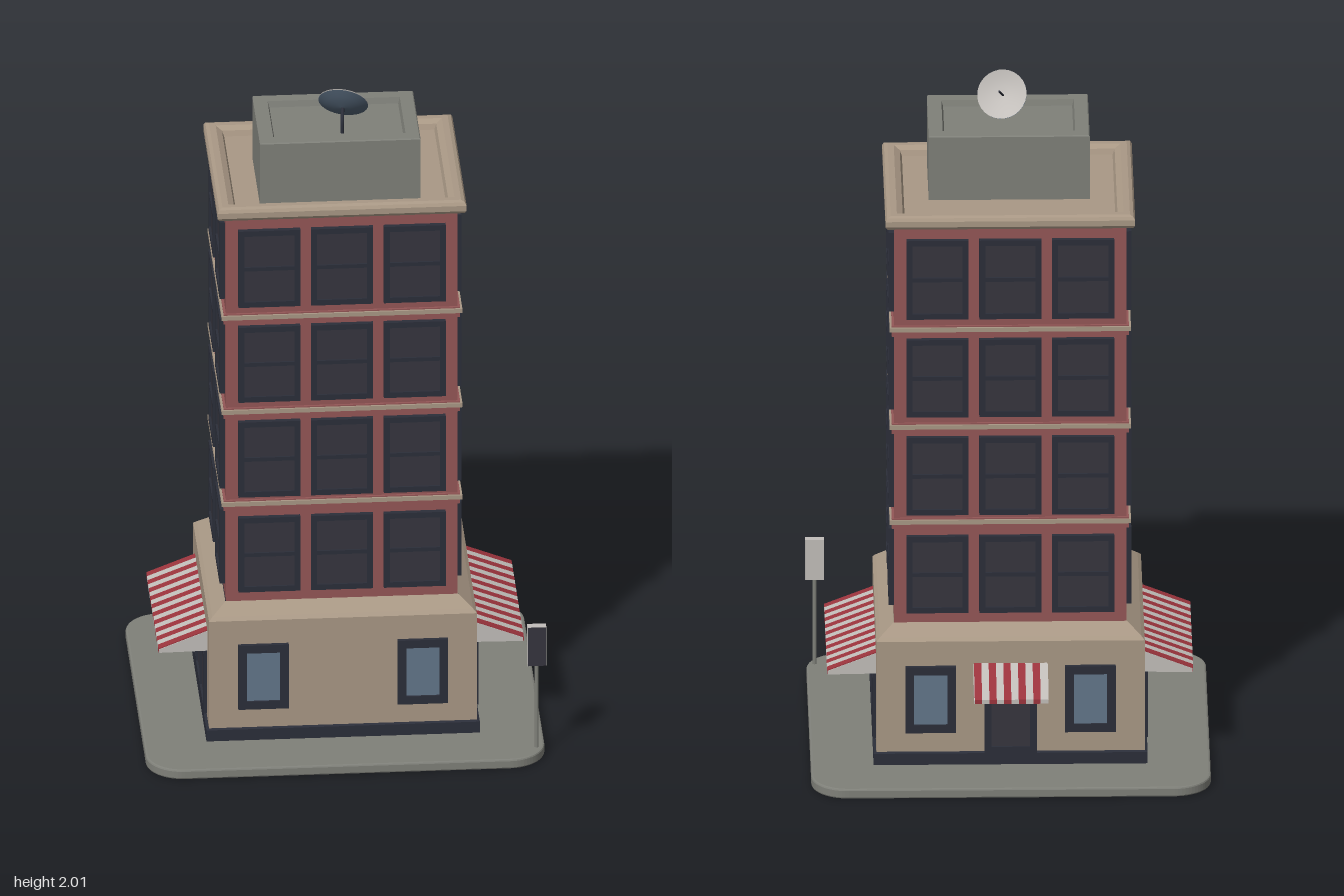
import * as THREE from 'three';

const mat = (name, color) => {
  const m = new THREE.MeshStandardMaterial({ color, side: THREE.DoubleSide });
  m.name = name;
  return m;
};

export function createModel() {
  const model = new THREE.Group();
  model.name = 'cornerBuilding';
  const stone = mat('beige stone', 0xa99885);
  const brick = mat('red brick', 0x945656);
  const concrete = mat('grey concrete', 0x7f8079);
  const frameDark = mat('dark frame', 0x2b2e39);
  const paneDark = mat('dark pane', 0x36353e);
  const glass = mat('blue glass', 0x62768a);
  const red = mat('awning red', 0x9c343d);
  const white = mat('off white', 0xc2beba);
  const steel = mat('blue steel', 0x4f5f70);

  const add = (parent, name, geo, material, x = 0, y = 0, z = 0) => {
    const m = new THREE.Mesh(geo, material);
    m.name = name;
    m.position.set(x, y, z);
    parent.add(m);
    return m;
  };
  const box = (parent, name, w, h, d, material, x, y, z) =>
    add(parent, name, new THREE.BoxGeometry(w, h, d), material, x, y, z);

  // Stacked rectangles [halfX, halfZ, y], joined by flat faces
  const loft = (rings, cap) => {
    const pos = [];
    const at = ([hx, hz, y], j) => [[hx, y, hz], [hx, y, -hz], [-hx, y, -hz], [-hx, y, hz]][j % 4];
    const quad = (a, b, c, d) => pos.push(...a, ...b, ...c, ...a, ...c, ...d);
    for (let i = 0; i < rings.length - 1; i++) {
      for (let j = 0; j < 4; j++) {
        quad(at(rings[i], j), at(rings[i], j + 1), at(rings[i + 1], j + 1), at(rings[i + 1], j));
      }
    }
    const top = rings[rings.length - 1];
    if (cap) quad(at(top, 0), at(top, 1), at(top, 2), at(top, 3));
    const g = new THREE.BufferGeometry();
    g.setAttribute('position', new THREE.Float32BufferAttribute(pos, 3));
    g.computeVertexNormals();
    return g;
  };
  const rectPath = (target, x, y, w, h) => {
    target.moveTo(x, y);
    target.lineTo(x + w, y);
    target.lineTo(x + w, y + h);
    target.lineTo(x, y + h);
    target.closePath();
    return target;
  };

  // One group per facade, whose local +z points outwards
  const facade = (name, angle) => {
    const g = new THREE.Group();
    g.name = name;
    g.rotation.y = angle;
    model.add(g);
    return g;
  };
  const front = facade('frontFacade', 0);
  const back = facade('backFacade', Math.PI);
  const left = facade('leftFacade', Math.PI / 2);
  const right = facade('rightFacade', -Math.PI / 2);

  // Framed window with a grid of openings; (x, y) is its bottom centre
  const windowUnit = (parent, name, x, y, z, w, h, cols, rows, border, bar, pane) => {
    const g = new THREE.Group();
    g.name = name;
    g.position.set(x, y, z);
    parent.add(g);
    const shape = rectPath(new THREE.Shape(), -w / 2, 0, w, h);
    const cw = (w - 2 * border - (cols - 1) * bar) / cols;
    const ch = (h - 2 * border - (rows - 1) * bar) / rows;
    for (let c = 0; c < cols; c++) {
      for (let r = 0; r < rows; r++) {
        shape.holes.push(rectPath(new THREE.Path(),
          -w / 2 + border + c * (cw + bar), border + r * (ch + bar), cw, ch));
      }
    }
    add(g, 'frame', new THREE.ExtrudeGeometry(shape, { depth: 0.024, bevelEnabled: false }),
      frameDark, 0, 0, -0.012);
    box(g, 'pane', w - border, h - border, 0.012, pane, 0, h / 2, 0);
  };

  // Striped awning on a wall at distance z
  const awning = (parent, z, width, stripes, reach, top) => {
    const g = new THREE.Group();
    g.name = 'awning';
    g.position.set(0, top, z);
    parent.add(g);
    const section = (pts) => new THREE.Shape(pts.map((p) => new THREE.Vector2(...p)));
    const sheet = section([[0, 0], [reach, -0.055], [reach, -0.068],
      [reach - 0.006, -0.068], [reach - 0.006, -0.059], [0, -0.006]]);
    const cheek = section([[0, -0.003], [reach - 0.002, -0.057], [reach - 0.002, -0.068], [0, -0.066]]);
    const slice = (shape, depth) =>
      new THREE.ExtrudeGeometry(shape, { depth, bevelEnabled: false }).rotateY(-Math.PI / 2);
    const sw = width / stripes;
    for (let i = 0; i < stripes; i++) {
      add(g, 'stripe', slice(sheet, sw), i % 2 ? white : red, -width / 2 + (i + 1) * sw);
    }
    for (const s of [-1, 1]) {
      add(g, 'awningCheek', slice(cheek, 0.004), white, s * width / 2 + 0.002);
    }
  };

  // Pavement ring with rounded corners, open under the building
  const W = 0.567, D = 0.495, R = 0.1;
  const slab = new THREE.Shape();
  slab.absarc(W - R, D - R, R, 0, Math.PI / 2);
  slab.absarc(R - W, D - R, R, Math.PI / 2, Math.PI);
  slab.absarc(R - W, R - D, R, Math.PI, 1.5 * Math.PI);
  slab.absarc(W - R, R - D, R, 1.5 * Math.PI, 2 * Math.PI);
  slab.closePath();
  slab.holes.push(rectPath(new THREE.Path(), -0.385, -0.315, 0.77, 0.63));
  add(model, 'pavement', new THREE.ExtrudeGeometry(slab, {
    depth: 0.02, bevelThickness: 0.005, bevelSize: 0.006, bevelSegments: 2, curveSegments: 8,
  }).rotateX(-Math.PI / 2), concrete, 0, 0.005, 0);

  // Ground floor shell
  add(model, 'plinth', loft([[0.393, 0.323, 0.01], [0.393, 0.323, 0.065], [0.385, 0.315, 0.068]]), frameDark);
  add(model, 'groundFloor', loft([[0.385, 0.315, 0.066], [0.385, 0.315, 0.41],
    [0.375, 0.305, 0.42], [0.335, 0.27, 0.452]]), stone);

  // Brick tower and floor bands
  box(model, 'tower', 0.666, 1.24, 0.536, brick, 0, 1.07, 0);
  for (const y of [0.767, 1.063, 1.366]) {
    box(model, 'brickLip', 0.68, 0.032, 0.55, brick, 0, y - 0.006, 0);
    box(model, 'floorBand', 0.692, 0.013, 0.562, stone, 0, y, 0);
  }

  // Tower windows
  const floors = [[0.485, 0.238], [0.79, 0.241], [1.095, 0.241], [1.4, 0.245]];
  for (const [y, h] of floors) {
    for (const f of [front, back]) {
      for (const x of [-0.209, 0, 0.209]) windowUnit(f, 'towerWindow', x, y, 0.271, 0.178, h, 1, 2, 0.017, 0.012, paneDark);
    }
    for (const f of [left, right]) {
      for (const x of [-0.132, 0.132]) windowUnit(f, 'towerWindow', x, y, 0.336, 0.178, h, 1, 2, 0.017, 0.012, paneDark);
    }
  }

  // Ground floor windows, shop fronts, back door and awnings
  for (const f of [front, back]) {
    for (const x of [-0.229, 0.229]) windowUnit(f, 'groundWindow', x, 0.13, 0.315, 0.145, 0.205, 1, 1, 0.025, 0, glass);
  }
  for (const f of [left, right]) {
    windowUnit(f, 'shopFront', 0, 0.075, 0.383, 0.47, 0.185, 3, 1, 0.018, 0.014, paneDark);
    windowUnit(f, 'shopTransom', 0, 0.25, 0.383, 0.47, 0.045, 3, 1, 0.01, 0.014, paneDark);
    awning(f, 0.385, 0.485, 19, 0.14, 0.348);
  }
  windowUnit(back, 'backDoor', 0, 0.066, 0.315, 0.15, 0.21, 1, 1, 0.02, 0, paneDark);
  awning(back, 0.315, 0.21, 10, 0.14, 0.342);

  // Cornice with sunken roof deck
  add(model, 'corniceAndRoof', loft([[0.33, 0.265, 1.676], [0.352, 0.278, 1.679], [0.358, 0.284, 1.688],
    [0.358, 0.284, 1.705], [0.353, 0.279, 1.714], [0.343, 0.269, 1.718], [0.325, 0.251, 1.718],
    [0.308, 0.236, 1.708], [0.302, 0.23, 1.692]], true), stone);

  // Rooftop housing with sunken top
  add(model, 'roofHousing', loft([[0.231, 0.153, 1.685], [0.231, 0.153, 1.887], [0.228, 0.15, 1.89],
    [0.19, 0.114, 1.89], [0.185, 0.109, 1.872]], true), concrete, 0, 0, 0.059);

  // Satellite dish, tilted back and up
  const dish = new THREE.Group();
  dish.name = 'satelliteDish';
  dish.position.set(0.017, 1.945, 0.082);
  dish.quaternion.setFromUnitVectors(new THREE.Vector3(0, 1, 0), new THREE.Vector3(0.2, 0.56, -0.82).normalize());
  model.add(dish);
  const bowl = [[0, -0.016], [0.025, -0.0135], [0.05, -0.007], [0.072, 0.003]].map((p) => new THREE.Vector2(...p));
  const inner = bowl.map((p) => new THREE.Vector2(p.x, p.y + 0.003)).reverse();
  add(dish, 'dishBack', new THREE.LatheGeometry(bowl, 28), steel);
  add(dish, 'dishFace', new THREE.LatheGeometry(inner, 28), white);
  add(dish, 'dishFeed', new THREE.CylinderGeometry(0.003, 0.003, 0.06, 8), frameDark, 0, 0.016, 0);
  const arm = new THREE.CatmullRomCurve3([new THREE.Vector3(0.012, 1.87, 0.125),
    new THREE.Vector3(0.012, 1.91, 0.122), new THREE.Vector3(0.015, 1.936, 0.094)]);
  add(model, 'dishArm', new THREE.TubeGeometry(arm, 10, 0.005, 8), frameDark);

  // Street sign on a pole
  add(model, 'signPole', new THREE.CylinderGeometry(0.006, 0.006, 0.3, 10), concrete, 0.549, 0.17, 0.423);
  box(model, 'signBox', 0.054, 0.125, 0.022, white, 0.549, 0.357, 0.423);
  box(model, 'signFace', 0.052, 0.122, 0.004, paneDark, 0.549, 0.357, 0.435);

  return model;
}
